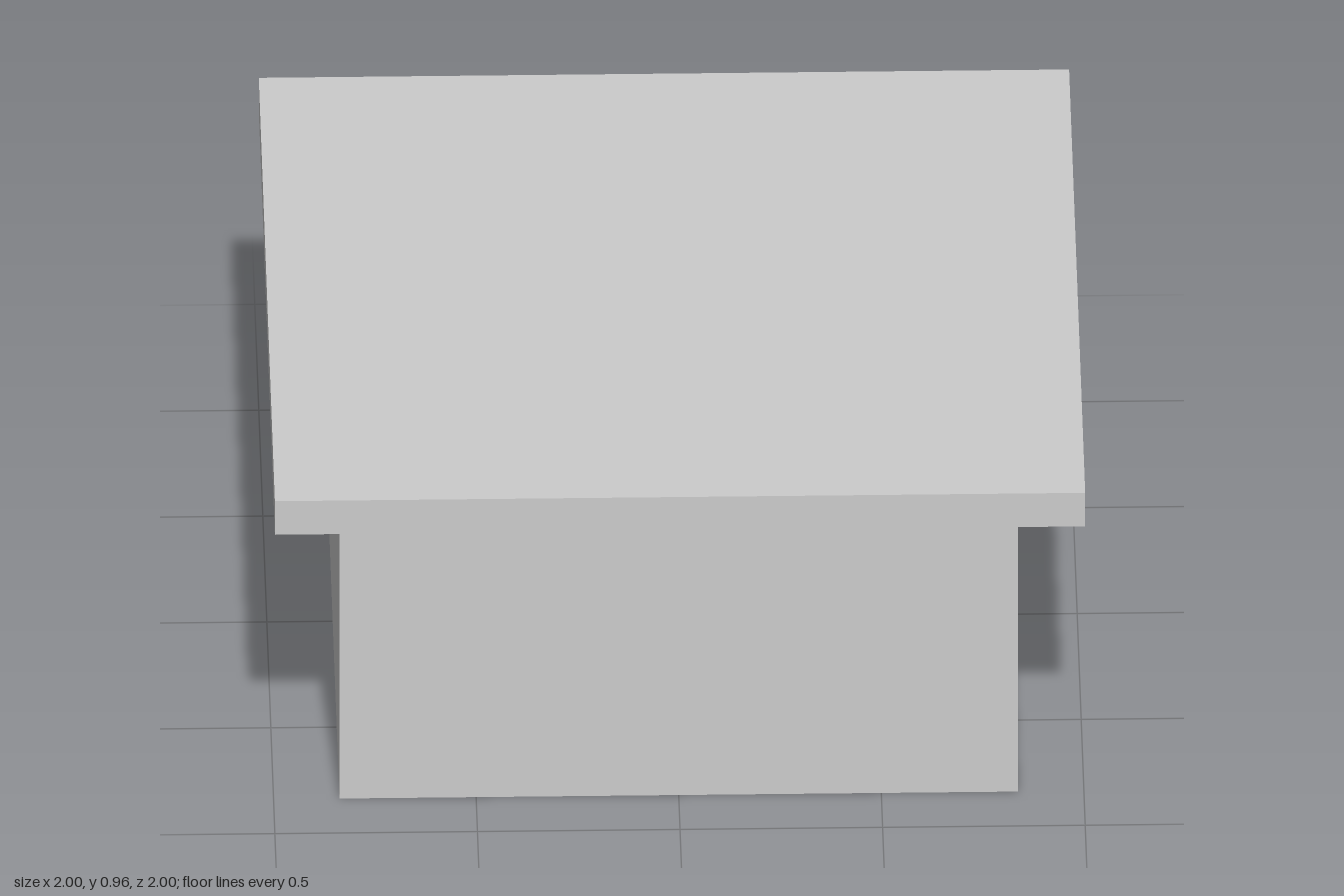
import * as THREE from 'three';

const material = new THREE.MeshStandardMaterial({ color: 0xcccccc });

function addPart(group, name, geometry, x, y, z) {
  const mesh = new THREE.Mesh(geometry, material);
  mesh.name = name;
  mesh.position.set(x, y, z);
  group.add(mesh);
  return mesh;
}

export function createModel() {
  const model = new THREE.Group();
  model.name = 'sideTable';

  const bodySize = 1.675, bodyHeight = 0.865, topHeight = 0.097;
  const back = -bodySize / 2;
  const panelDepth = 0.03;

  // Cabinet body and overhanging square top
  addPart(model, 'body', new THREE.BoxGeometry(bodySize, bodyHeight, bodySize), 0, bodyHeight / 2, 0);
  addPart(model, 'tableTop', new THREE.BoxGeometry(2, topHeight, 2), 0, bodyHeight + topHeight / 2, 0);

  // Raised drawer front on the back face
  addPart(model, 'drawerFront', new THREE.BoxGeometry(1.22, 0.47, panelDepth), 0, 0.435, back - panelDepth / 2);

  // Flattened round knob, partly sunk into the drawer front
  const knob = addPart(model, 'drawerKnob', new THREE.SphereGeometry(0.07, 32, 20), 0.02, 0.417, back - 0.043);
  knob.scale.z = 0.7;

  return model;
}
